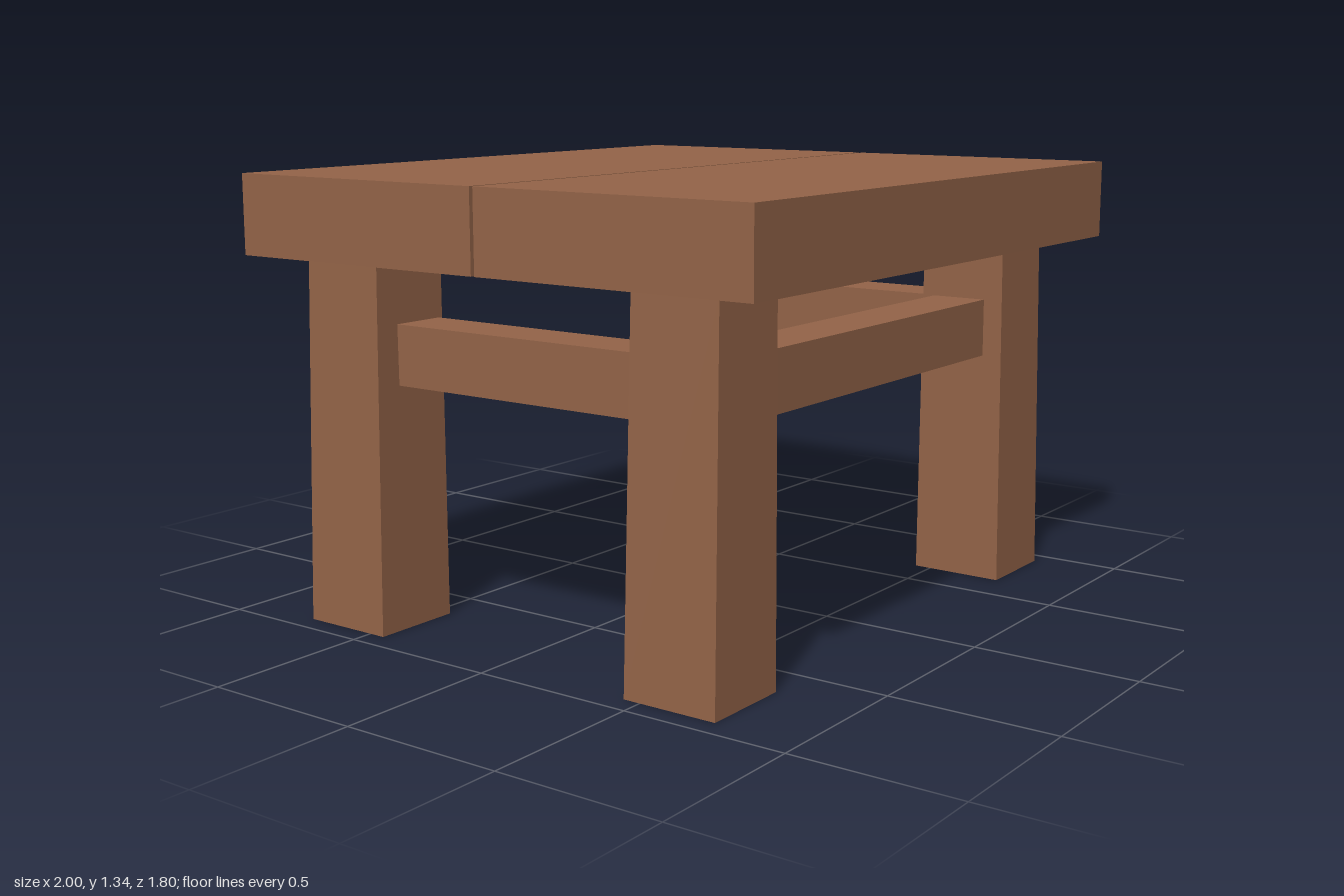
import * as THREE from 'three';

const LEG_HEIGHT = 1.1;

// Box given by its minimum and maximum on each axis
function beam(name, material, [x0, x1], [y0, y1], [z0, z1]) {
  const mesh = new THREE.Mesh(new THREE.BoxGeometry(x1 - x0, y1 - y0, z1 - z0), material);
  mesh.position.set((x0 + x1) / 2, (y0 + y1) / 2, (z0 + z1) / 2);
  mesh.name = name;
  return mesh;
}

// Four-sided leg, slightly wider at the foot than under the top
function legGeometry(sx, sz) {
  const geometry = new THREE.BoxGeometry(1, LEG_HEIGHT, 1);
  geometry.translate(0, LEG_HEIGHT / 2, 0);
  const p = geometry.attributes.position;
  for (let i = 0; i < p.count; i++) {
    const top = p.getY(i) > 0;
    const outerX = p.getX(i) * sx > 0;
    const outerZ = p.getZ(i) * sz > 0;
    const x = outerX ? (top ? 0.905 : 0.933) : (top ? 0.643 : 0.65);
    const z = outerZ ? (top ? 0.734 : 0.743) : (top ? 0.457 : 0.447);
    p.setX(i, x * sx);
    p.setZ(i, z * sz);
  }
  geometry.computeVertexNormals();
  return geometry;
}

export function createModel() {
  const wood = new THREE.MeshStandardMaterial({ color: 0x946448 });
  wood.name = 'brown wood';

  const table = new THREE.Group();
  table.name = 'table';

  // Two thick planks with a narrow gap between them
  table.add(beam('frontPlank', wood, [-1, 1], [LEG_HEIGHT, 1.34], [0.006, 0.9]));
  table.add(beam('backPlank', wood, [-1, 1], [LEG_HEIGHT, 1.34], [-0.9, -0.006]));

  for (const sx of [1, -1]) {
    const side = sx > 0 ? 'Left' : 'Right';

    // Legs
    for (const sz of [1, -1]) {
      const leg = new THREE.Mesh(legGeometry(sx, sz), wood);
      leg.name = (sz > 0 ? 'front' : 'back') + side + 'Leg';
      table.add(leg);
    }

    // Side rail between front and back legs
    const railX = sx > 0 ? [0.658, 0.83] : [-0.83, -0.658];
    table.add(beam('side' + side + 'Rail', wood, railX, [0.733, 0.913], [-0.455, 0.455]));
  }

  // Front rail; the back is left open
  table.add(beam('frontRail', wood, [-0.645, 0.645], [0.733, 0.913], [0.495, 0.673]));

  return table;
}
